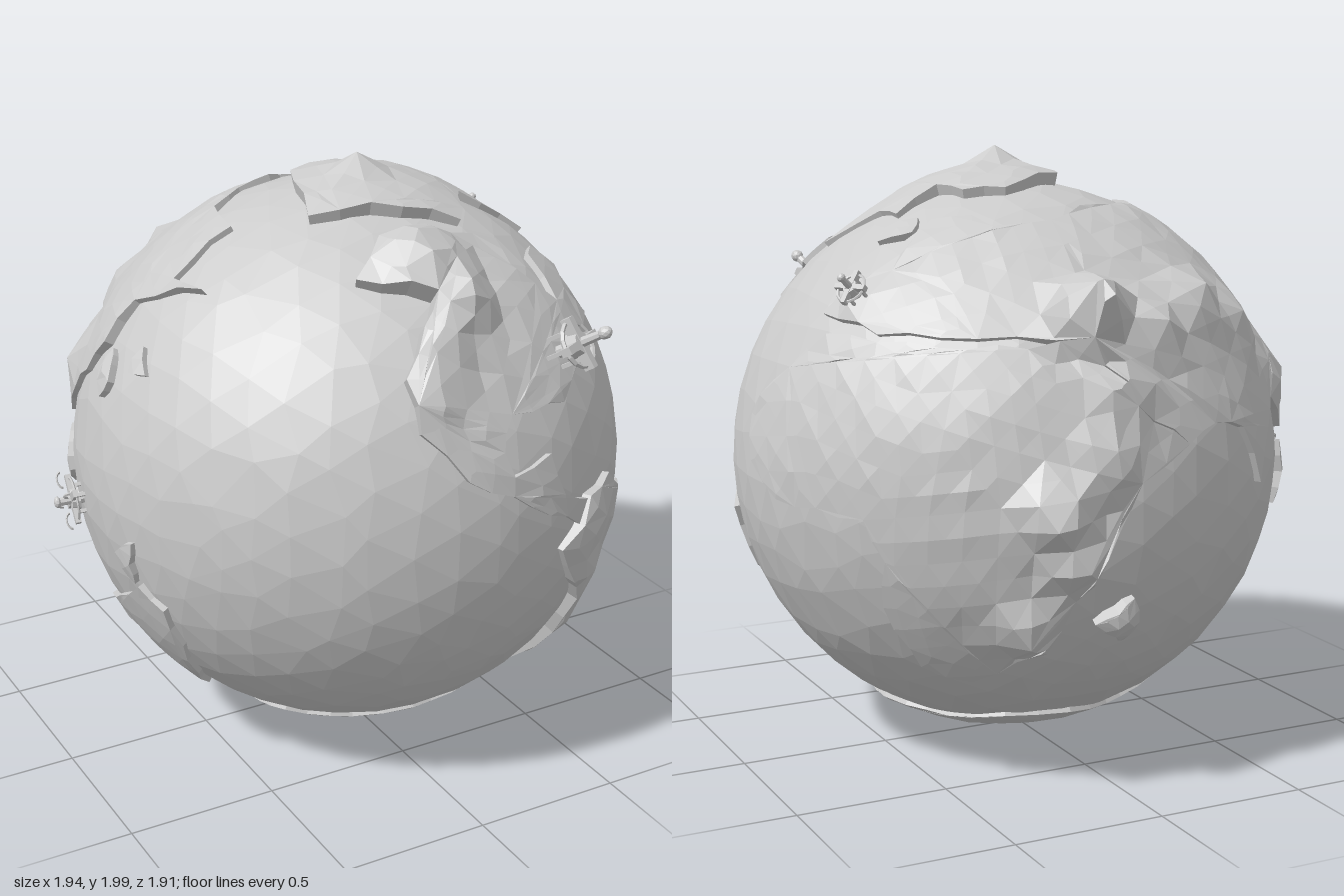
import * as THREE from 'three';

const CENTRE = new THREE.Vector3(0.034, 0.968, 0.032);
const SEA = 0.917, LAND = 0.935;
const RAD = Math.PI / 180;
const grey = new THREE.MeshStandardMaterial({ color: 0xcccccc, flatShading: true, side: THREE.DoubleSide });

// Direction from azimuth (0 = +z, 90 = +x) and latitude, in degrees
const dir = (az, lat) => new THREE.Vector3(
  Math.sin(az * RAD) * Math.cos(lat * RAD), Math.sin(lat * RAD), Math.cos(az * RAD) * Math.cos(lat * RAD));
const wobble = (p, k) => Math.sin(p.x * 37 + k) * Math.sin(p.y * 41 + 2 * k) * Math.sin(p.z * 43 + 3 * k);

// Raised land: outline [az, lat], peaks [az, lat, radius, width in degrees]
function makeLand(name, centre, outline, peaks = [], base = LAND, maxLen = 0.14) {
  const c = dir(...centre);
  const east = new THREE.Vector3(0, 1, 0).cross(c).normalize();
  const north = c.clone().cross(east);
  const flat = ([az, lat]) => {
    const d = dir(az, lat), a = d.angleTo(c);
    return new THREE.Vector2(d.dot(east), d.dot(north)).normalize().multiplyScalar(a);
  };
  const hills = peaks.map(([az, lat, r, w]) => ({ d: dir(az, lat), h: r - base, w: w * RAD }));
  const lift = (p) => {
    const a = p.length(), s = a > 1e-6 ? Math.sin(a) / a : 1;
    return c.clone().multiplyScalar(Math.cos(a)).addScaledVector(east, p.x * s).addScaledVector(north, p.y * s);
  };
  const surface = (p) => {
    const d = lift(p);
    let h = 0;
    for (const k of hills) h = Math.max(h, k.h * (1 - d.angleTo(k.d) / k.w));
    return d.multiplyScalar(base + h + 0.005 * wobble(d, 1));
  };
  // Coast edges cut short and slightly bent, so no three rim points line up
  const corners = outline.map(flat);
  const rim = [];
  corners.forEach((p, i) => {
    const q = corners[(i + 1) % corners.length];
    const n = Math.ceil(p.distanceTo(q) / (maxLen * 0.9));
    const side = new THREE.Vector2(p.y - q.y, q.x - p.x).normalize();
    for (let j = 0; j < n; j++) {
      rim.push(p.clone().lerp(q, j / n).addScaledVector(side, j ? 0.008 * Math.cos(j * Math.PI) : 0));
    }
  });
  if (THREE.ShapeUtils.isClockWise(rim)) rim.reverse();
  const pos = [];
  const tri = (...v) => v.forEach((p) => pos.push(p.x, p.y, p.z));
  // Split the longest edge until the facets are small
  const split = (a, b, d) => {
    const ab = a.distanceTo(b), bd = b.distanceTo(d), da = d.distanceTo(a);
    const m = Math.max(ab, bd, da);
    if (m <= maxLen) return tri(surface(a), surface(b), surface(d));
    if (bd === m) [a, b, d] = [b, d, a];
    else if (da === m) [a, b, d] = [d, a, b];
    const mid = a.clone().add(b).multiplyScalar(0.5);
    split(a, mid, d);
    split(mid, b, d);
  };
  for (const [i, j, k] of THREE.ShapeUtils.triangulateShape(rim, [])) split(rim[i], rim[j], rim[k]);
  // Cliffs down into the sea
  rim.forEach((p, i) => {
    const q = rim[(i + 1) % rim.length];
    const a = surface(p), b = surface(q);
    const a0 = lift(p).multiplyScalar(0.9), b0 = lift(q).multiplyScalar(0.9);
    tri(a0, b0, b);
    tri(a0, b, a);
  });
  const g = new THREE.BufferGeometry();
  g.setAttribute('position', new THREE.Float32BufferAttribute(pos, 3));
  g.computeVertexNormals();
  const mesh = new THREE.Mesh(g, grey);
  mesh.name = name;
  return mesh;
}

// Small lander: stem, hub, ring, crossed arms, ball on top, and hooked ends if asked for
function makeLander(name, az, lat, radius, across, tall, hooked = false) {
  const group = new THREE.Group();
  group.name = name;
  const add = (part, geo, x, y, z, ry = 0) => {
    const m = new THREE.Mesh(geo, grey);
    m.name = part;
    m.position.set(x, y, z);
    m.rotation.y = ry;
    group.add(m);
  };
  add('stem', new THREE.CylinderGeometry(0.013, 0.02, 0.15, 8), 0, 0.075, 0);
  add('hub', new THREE.CylinderGeometry(0.034, 0.04, 0.045, 10), 0, 0.055, 0);
  add('ring', new THREE.TorusGeometry(0.07, 0.007, 5, 16).rotateX(Math.PI / 2), 0, 0.06, 0);
  add('ball', new THREE.IcosahedronGeometry(0.02, 1), 0, 0.15, 0);
  for (let i = 0; i < 4; i++) {
    const a = i * Math.PI / 2 + 0.5;
    const at = (r) => [Math.cos(a) * r, -Math.sin(a) * r];
    const [x, z] = at(0.045), [hx, hz] = at(0.07);
    add('arm', new THREE.BoxGeometry(0.075, 0.03, 0.024), x, 0.065, z, a);
    add('leg', new THREE.BoxGeometry(0.012, 0.07, 0.012), x, 0.02, z, a);
    if (hooked) add('hook', new THREE.TorusGeometry(0.026, 0.005, 4, 8, Math.PI), hx, 0.1, hz, a);
  }
  const d = dir(az, lat);
  group.quaternion.setFromUnitVectors(new THREE.Vector3(0, 1, 0), d);
  group.position.copy(d).multiplyScalar(radius);
  group.scale.set(across, tall, across);
  return group;
}

export function createModel() {
  const model = new THREE.Group();
  model.name = 'globe';
  const globe = new THREE.Group();
  globe.name = 'planet';
  globe.position.copy(CENTRE);
  model.add(globe);

  // Faceted ocean ball
  const ocean = new THREE.IcosahedronGeometry(1, 7);
  const p = ocean.attributes.position, v = new THREE.Vector3();
  for (let i = 0; i < p.count; i++) {
    v.fromBufferAttribute(p, i).normalize();
    const w = v.clone();
    v.x += 0.05 * wobble(w, 2);
    v.y += 0.05 * wobble(w, 3);
    v.z += 0.05 * wobble(w, 4);
    v.normalize().multiplyScalar(SEA);
    p.setXYZ(i, v.x, v.y, v.z);
  }
  ocean.computeVertexNormals();
  const sea = new THREE.Mesh(ocean, grey);
  sea.name = 'ocean';
  globe.add(sea);

  // Mountains shared by the two joined eastern continents
  const easternPeaks = [
    [174, 36, 1.14, 10], [117, 39, 0.965, 7], [190, 33, 1.0, 10], [206, 37, 1.02, 10], [222, 32, 0.98, 10],
    [237, 18, 0.99, 9], [178, 22, 0.99, 10], [164, -1, 1.05, 9], [168, -10, 1.02, 9], [159, -25, 1.01, 8],
    [174, 8, 0.99, 9], [96, 8, 0.948, 25], [285, 47, 0.955, 10], [262, 33, 0.95, 10]];

  // Continents
  globe.add(
    makeLand('northWestContinent', [12, 35], [
      [-26, 54], [-16, 63], [5, 64], [40, 57], [32, 51], [40, 40], [47, 50], [56, 50], [60, 43], [50, 40],
      [53, 33], [33, 28], [23, 23], [7, 24.5], [3.5, 18], [5, 13], [15, 15], [18, 6], [27, 2],
      [23, -2], [9, 6], [-5, 14], [-14, 24], [-16, 34], [-10, 43], [-4, 49]],
    [[-3, 57, 1.06, 13], [3, 48, 1.05, 10], [-6, 40, 1.02, 9], [-11, 31, 0.99, 8], [-24, 54, 0.955, 8]]),
    makeLand('southWestContinent', [42, -22], [
      [23, -2], [26, 3], [36, 4], [46, -3], [70, -11], [67, -25], [59, -31], [55, -41], [52, -54],
      [40, -56], [37, -42], [31, -23], [21, -11], [18, -6]],
    [[28, -4, 0.98, 10], [28, -13, 0.98, 8], [35, -22, 0.97, 8], [38, -32, 0.97, 8], [41, -42, 0.96, 8]]),
    makeLand('southEastContinent', [142, 0], [
      [111, 31], [99, 20], [94, 13], [96, 4], [105, -2], [127, -3], [131, -11], [129, -21], [134, -36],
      [146, -40], [163, -30], [168, -18], [176, -5], [180, 4], [192, 10], [180, 18], [172, 30], [140, 30]],
    easternPeaks),
    makeLand('greatEasternContinent', [200, 38], [
      [107, 35], [112, 44], [122, 46], [120, 54], [124, 61], [140, 63], [150, 59], [173, 61], [204, 66],
      [242, 63], [273, 63], [272, 48], [287, 48], [263, 40], [262, 30], [256, 22], [246, 13], [238, 6],
      [228, 14], [221, 9], [215, -1], [209, 11], [200, 13], [192, 10], [180, 18], [172, 30], [165, 31],
      [140, 32], [125, 32]], easternPeaks),
    makeLand('southIslandContinent', [-90, -36], [
      [-109, -38], [-100, -28], [-87, -22], [-75, -14], [-69, -18], [-68, -28], [-71, -40],
      [-80, -51], [-95, -51], [-107, -44]]),
    // Polar lands
    makeLand('northCap', [0, 89], [
      [-50, 70], [229, 79], [155, 74], [127, 72], [102, 73], [102, 62], [87, 62], [74, 50],
      [67, 67], [32, 64]], [[10, 86, 1.032, 10], [20, 85, 0.985, 28]], 0.93),
    makeLand('southCap', [0, -89], Array.from({ length: 14 }, (_, i) => [-i * 360 / 14, -59 - 3 * Math.sin(i * 2.3)]),
      [[60, -88, 0.967, 8]], 0.928));

  // Islands: [az, lat, size in degrees, peak radius]
  const islands = [
    [178.5, -24, 6, 0.99], [112, 57, 5, 0.94], [-119, -4, 7, 0.95], [-78, -9, 5, 0.945],
    [-93, 25, 5, 0.95], [-82, 30, 4, 0.945]];
  islands.forEach(([az, lat, size, r], n) => {
    const outline = Array.from({ length: 6 }, (_, i) => {
      const a = i * Math.PI / 3 + n, k = size * (0.8 + 0.35 * Math.sin(i * 2.7 + n));
      return [az + 0.75 * k * Math.cos(a) / Math.cos(lat * RAD), lat + k * Math.sin(a)];
    });
    globe.add(makeLand('island', [az, lat], outline, [[az, lat, r, size]], 0.931, 0.07));
  });

  // Landers
  globe.add(
    makeLander('frontLander', 26, 32, 0.95, 1.05, 1.2),
    makeLander('sideLander', -99, -4, 0.91, 1, 0.6, true),
    makeLander('rearLander', 117, 39, 0.955, 0.7, 0.65));
  return model;
}
